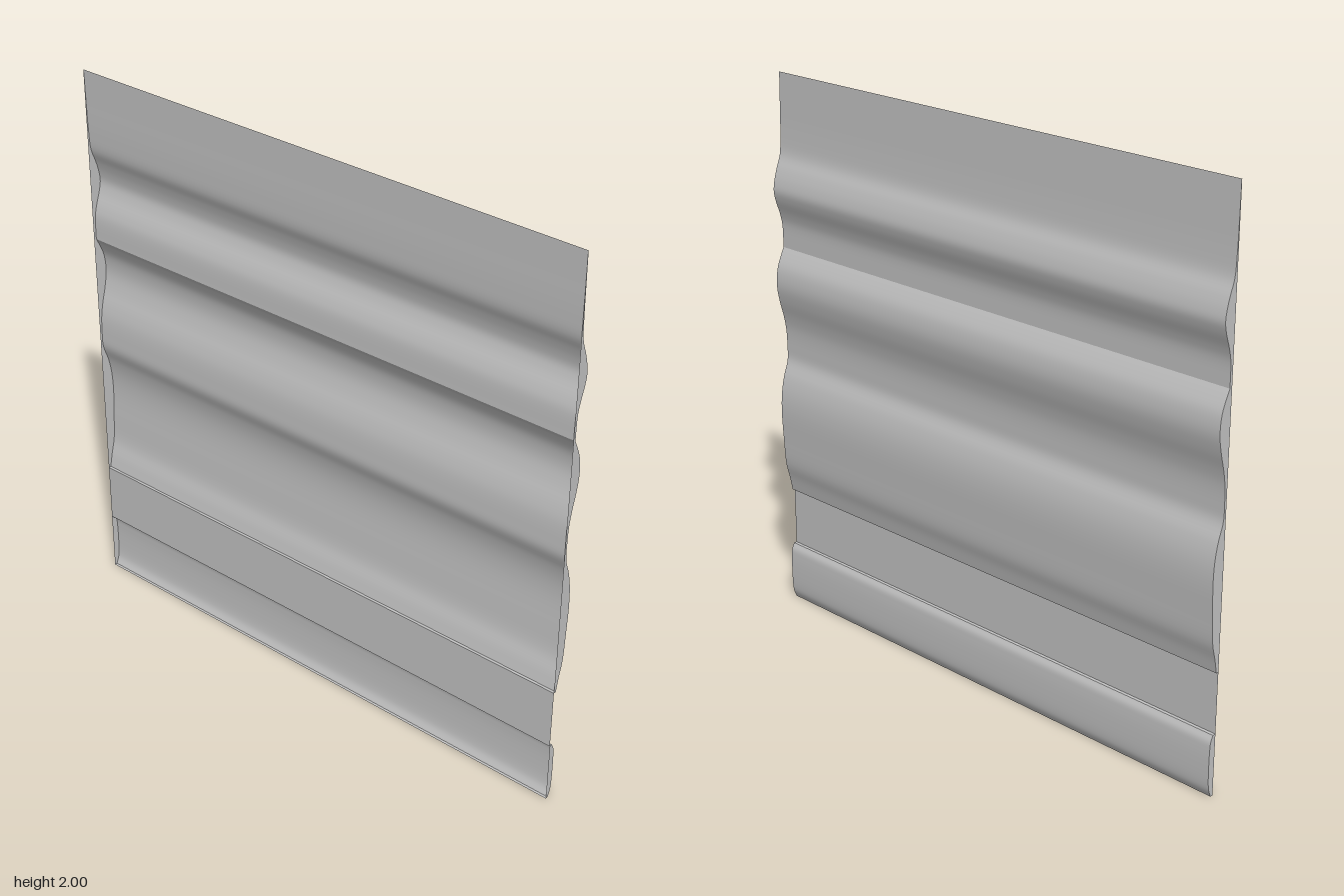
import * as THREE from 'three';

const FRONT = 0.024; // front plane of the panel
const HALF = 1;      // half the panel width

const paint = new THREE.MeshStandardMaterial({ color: 0xc4c4c4, side: THREE.DoubleSide });
paint.name = 'plain grey';

// Smooth runs of the moulding profile, as [y, z] from top to bottom
const upperWave = [
  [2, 0.023], [1.9, 0.021], [1.78, 0.018], [1.71, 0.012], [1.66, -0.006], [1.62, -0.017],
  [1.585, -0.021], [1.55, -0.014], [1.5, 0.003], [1.46, 0.012], [1.375, 0.014],
];
const lowerWave = [
  [1.375, 0.014], [1.355, 0.004], [1.31, -0.015], [1.27, -0.022], [1.23, -0.022], [1.18, -0.013],
  [1.12, 0.003], [1.07, 0.012], [1.0, 0.015], [0.95, 0.013], [0.89, -0.007], [0.83, -0.019],
  [0.76, -0.023], [0.65, -0.018], [0.55, -0.011], [0.49, 0.004], [0.44, 0.014],
];
const baseWave = [
  [0.222, 0.012], [0.2, 0.002], [0.17, -0.001], [0.11, -0.002], [0.05, 0], [0.025, 0.004], [0, 0.014],
];
const infill = [[0.44, FRONT], [0.222, FRONT]];

function smooth(points) {
  const curve = new THREE.CatmullRomCurve3(points.map(([y, z]) => new THREE.Vector3(0, y, z)));
  return curve.getPoints(points.length * 4).map((p) => [p.y, p.z]);
}

// Sheet stretched across the full width along a profile
function sheet(name, profile) {
  const g = new THREE.PlaneGeometry(HALF * 2, 1, 1, profile.length - 1);
  const pos = g.attributes.position;
  profile.forEach(([y, z], i) => {
    pos.setXYZ(i * 2, -HALF, y, z);
    pos.setXYZ(i * 2 + 1, HALF, y, z);
  });
  g.computeVertexNormals();
  const mesh = new THREE.Mesh(g, paint);
  mesh.name = name;
  return mesh;
}

// Flat ends closing the space between the profile and the front plane
function endCaps(name, profile) {
  const outline = [[profile[0][0], FRONT], ...profile, [profile[profile.length - 1][0], FRONT]];
  const shape = new THREE.Shape(outline.map(([y, z]) => new THREE.Vector2(-z, y)));
  const group = new THREE.Group();
  group.name = name;
  for (const side of [-1, 1]) {
    const g = new THREE.ShapeGeometry(shape);
    g.rotateY(Math.PI / 2);
    const cap = new THREE.Mesh(g, paint);
    cap.position.x = side * HALF;
    cap.name = side > 0 ? 'leftCap' : 'rightCap';
    group.add(cap);
  }
  return group;
}

export function createModel() {
  const model = new THREE.Group();
  model.name = 'mouldedPanel';
  const upper = smooth(upperWave);
  const lower = smooth(lowerWave);
  const base = smooth(baseWave);

  model.add(
    sheet('upperMoulding', upper),
    sheet('lowerMoulding', lower),
    sheet('flatStrip', infill),
    sheet('baseMoulding', base),
    endCaps('panelEnds', [...upper, ...lower.slice(1)]),
    endCaps('baseEnds', base),
  );

  // Narrow horizontal ledges where the profile steps to the front plane
  const ledges = { panelLedge: [0.44, 0.014], baseTopLedge: [0.222, 0.012], baseBottomLedge: [0, 0.014] };
  for (const [name, [y, z]] of Object.entries(ledges)) {
    model.add(sheet(name, [[y, z], [y, FRONT]]));
  }
  return model;
}
